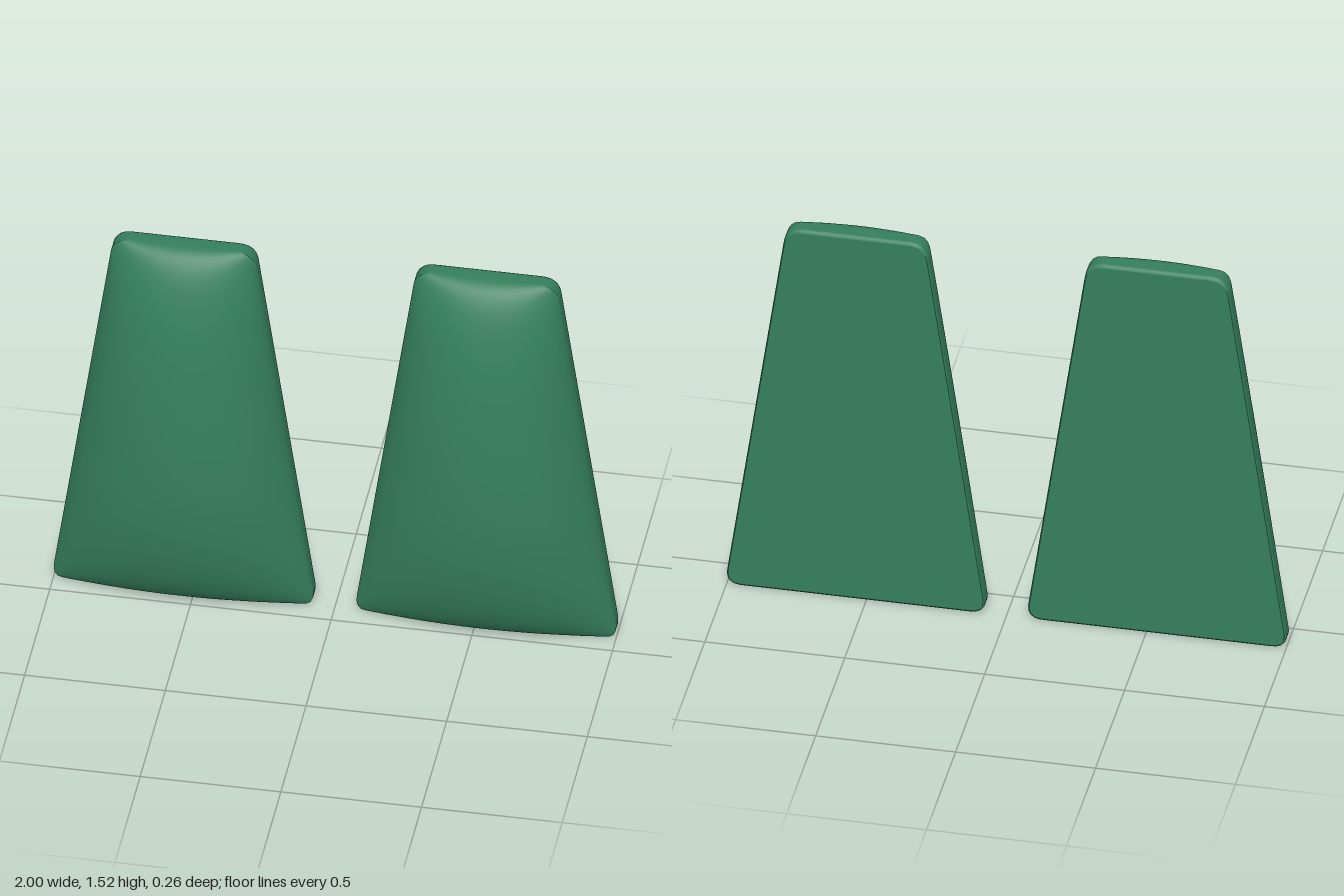
import * as THREE from 'three';

const H = 1.525, PEAK = 0.58, BACK = -0.13, RIM = -0.08, BULGE = 0.211;
const halfWidth = (y) => 0.469 - 0.219 * (y / H);

// Trapezoid outline with rounded corners, counter-clockwise from the front
function outline(count) {
  const corners = [[-1, 0], [1, 0], [1, H], [-1, H]].map(([s, y]) => new THREE.Vector2(s * halfWidth(y), y));
  const path = new THREE.Path();
  corners.forEach((c, i) => {
    const toward = (k) => corners[(i + k) % 4].clone().sub(c).setLength(0.06).add(c);
    const a = toward(3), b = toward(1);
    if (i) path.lineTo(a.x, a.y); else path.moveTo(a.x, a.y);
    path.quadraticCurveTo(c.x, c.y, b.x, b.y);
  });
  path.closePath();
  return path.getSpacedPoints(count).slice(0, count);
}

// Height of the domed front: rounded towards the sides, top and bottom
function domeZ(x, y) {
  const u = x / halfWidth(y);
  const v = (y - PEAK) / (y > PEAK ? H - PEAK : PEAK);
  const across = Math.max(0, 1 - u * u) ** 0.62;
  const along = Math.max(0, 1 - v * v) ** 0.46;
  return RIM + BULGE * across * along;
}

function panelGeometry() {
  const N = 240, STEPS = 36;
  const edge = outline(N);
  const pos = [], index = [];
  const addRing = (scale, zAt) => {
    for (const p of edge) {
      const x = p.x * scale, y = PEAK + (p.y - PEAK) * scale;
      pos.push(x, y, zAt(x, y));
    }
    return pos.length / 3 - N;
  };
  const join = (a, b) => {
    for (let j = 0; j < N; j++) {
      const k = (j + 1) % N;
      index.push(a + j, b + j, b + k, a + j, b + k, a + k);
    }
  };
  // Domed front, with rings closer together near the rim
  let last = addRing(0, domeZ);
  for (let i = 1; i <= STEPS; i++) {
    const next = addRing(Math.sin((i / STEPS) * Math.PI / 2), domeZ);
    join(last, next);
    last = next;
  }
  // Side wall and small rounded back edge
  for (const [scale, z] of [[1, BACK + 0.012], [0.997, BACK + 0.004], [0.987, BACK]]) {
    const next = addRing(scale, () => z);
    join(last, next);
    last = next;
  }
  // Flat back with its own vertices
  const rim = addRing(0.987, () => BACK);
  join(rim, addRing(0, () => BACK));

  const geometry = new THREE.BufferGeometry();
  geometry.setAttribute('position', new THREE.Float32BufferAttribute(pos, 3));
  geometry.setIndex(index);
  geometry.computeVertexNormals();
  return geometry;
}

export function createModel() {
  const group = new THREE.Group();
  const geometry = panelGeometry();
  const material = new THREE.MeshStandardMaterial({ color: 0x357f5d });
  // Matching pair of domed panels
  for (const [name, side] of [['leftPanel', 1], ['rightPanel', -1]]) {
    const panel = new THREE.Mesh(geometry, material);
    panel.name = name;
    panel.position.x = side * 0.538;
    group.add(panel);
  }
  return group;
}
